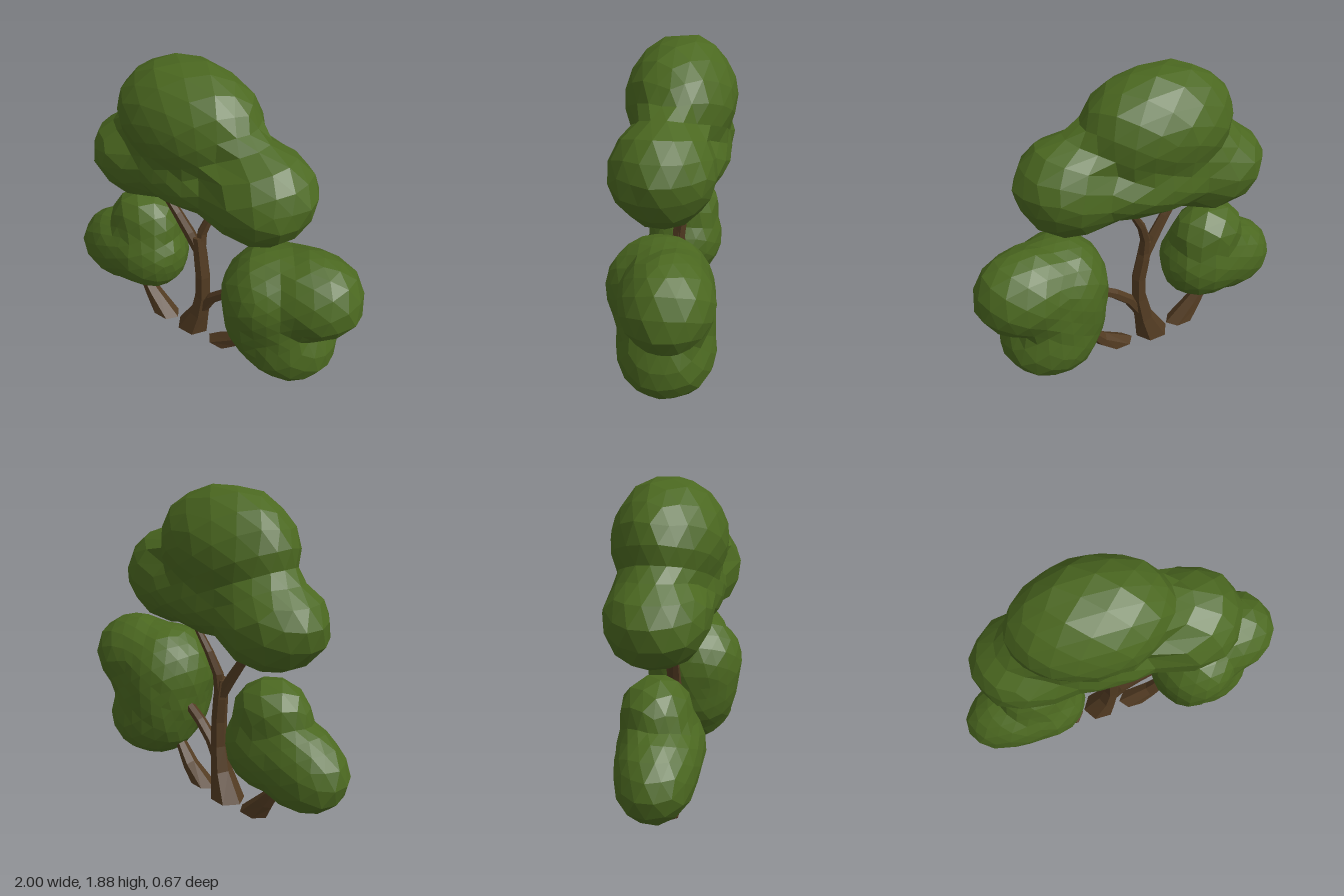
import * as THREE from 'three';
import { mergeVertices } from 'three/addons/utils/BufferGeometryUtils.js';

const leafGreen = new THREE.MeshStandardMaterial({ color: 0x4b6820, flatShading: true });
leafGreen.name = 'leaf green';
const barkBrown = new THREE.MeshStandardMaterial({ color: 0x523b22, flatShading: true });
barkBrown.name = 'bark brown';

// Small seeded generator for the uneven leaf surface
function seeded(seed) {
  return () => {
    seed = (seed * 16807) % 2147483647;
    return seed / 2147483647;
  };
}

// Distance from a point along a direction to the far side of an ellipsoid lobe (0 if missed)
function reach(from, dir, { at, size }) {
  let a = 0, b = 0, c = -1;
  for (let i = 0; i < 3; i++) {
    const d = dir.getComponent(i) / size[i];
    const o = (from[i] - at[i]) / size[i];
    a += d * d;
    b += d * o;
    c += o * o;
  }
  const disc = b * b - a * c;
  return disc < 0 ? 0 : Math.max(0, (Math.sqrt(disc) - b) / a);
}

// Faceted leaf mass: one skin pushed out from a centre to softly cover several lobes
function leafMass(name, centre, stretch, detail, seed, lobes) {
  let geo = new THREE.IcosahedronGeometry(1, detail);
  geo.deleteAttribute('uv');
  geo.deleteAttribute('normal');
  geo = mergeVertices(geo, 1e-4);
  const rand = seeded(seed * 1301);
  const p = geo.attributes.position;
  const dir = new THREE.Vector3();
  for (let i = 0; i < p.count; i++) {
    dir.fromBufferAttribute(p, i).multiply(stretch).normalize();
    const blend = lobes.reduce((sum, lobe) => sum + reach(centre, dir, lobe) ** 16, 0) ** (1 / 16);
    dir.multiplyScalar(blend * (0.985 + 0.03 * rand()));
    p.setXYZ(i, centre[0] + dir.x, centre[1] + dir.y, centre[2] + dir.z);
  }
  geo.computeVertexNormals();
  const mesh = new THREE.Mesh(geo, leafGreen);
  mesh.name = name;
  return mesh;
}

// Tapered branch lofted through stations [x, y, z, half width, half depth];
// a station at ground level gets a level ring
function branch(name, stations, sides = 6) {
  const pos = [];
  const index = [];
  stations.forEach(([x, y, z, w, d], i) => {
    const a = stations[Math.max(i - 1, 0)];
    const b = stations[Math.min(i + 1, stations.length - 1)];
    const across = new THREE.Vector2(b[1] - a[1], a[0] - b[0]).normalize();
    if (y === 0) across.set(1, 0);
    for (let k = 0; k < sides; k++) {
      const t = (k / sides) * Math.PI * 2;
      const c = Math.cos(t) * w;
      pos.push(x + across.x * c, y + across.y * c, z - Math.sin(t) * d);
    }
  });
  for (let i = 0; i < stations.length - 1; i++) {
    for (let k = 0; k < sides; k++) {
      const a = i * sides + k;
      const b = i * sides + ((k + 1) % sides);
      index.push(a, b, b + sides, a, b + sides, a + sides);
    }
  }
  // End caps
  const top = (stations.length - 1) * sides;
  for (let k = 1; k < sides - 1; k++) {
    index.push(0, k + 1, k, top, top + k, top + k + 1);
  }
  const geo = new THREE.BufferGeometry();
  geo.setAttribute('position', new THREE.Float32BufferAttribute(pos, 3));
  geo.setIndex(index);
  geo.computeVertexNormals();
  const mesh = new THREE.Mesh(geo, barkBrown);
  mesh.name = name;
  return mesh;
}

export function createModel() {
  // Woody parts
  const wood = new THREE.Group();
  wood.name = 'wood';
  wood.add(
    branch('trunk', [
      [-0.14, 0, -0.01, 0.11, 0.1], [-0.08, 0.16, -0.005, 0.062, 0.07], [-0.052, 0.32, 0, 0.05, 0.052],
      [-0.05, 0.48, 0, 0.046, 0.048], [-0.075, 0.64, -0.01, 0.044, 0.045], [-0.09, 0.76, -0.01, 0.036, 0.036],
    ]),
    branch('leftFork', [
      [-0.08, 0.65, -0.01, 0.036, 0.036], [-0.15, 0.77, 0, 0.036, 0.035],
      [-0.23, 0.89, 0.01, 0.031, 0.03], [-0.33, 1.02, 0.02, 0.022, 0.022],
    ]),
    branch('rightFork', [
      [-0.075, 0.64, -0.01, 0.036, 0.036], [-0.075, 0.79, -0.03, 0.032, 0.032],
      [-0.03, 0.92, -0.06, 0.026, 0.026], [0.06, 1.08, -0.09, 0.018, 0.018],
    ]),
    branch('sideBranch', [
      [-0.05, 0.22, 0, 0.04, 0.04], [0.02, 0.33, 0, 0.035, 0.038],
      [0.12, 0.42, 0, 0.033, 0.035], [0.25, 0.505, 0, 0.028, 0.03],
    ]),
    branch('leftStem', [
      [-0.36, 0, 0, 0.1, 0.075], [-0.46, 0.115, 0, 0.052, 0.055], [-0.56, 0.25, 0, 0.025, 0.03],
    ]),
    branch('rightStem', [
      [0.095, 0, 0, 0.095, 0.07], [0.22, 0.085, 0, 0.045, 0.052], [0.32, 0.21, 0, 0.03, 0.035],
    ]));

  // High crown: a dome over two side lobes and a thinner middle
  const crown = leafMass('crown', [-0.09, 1.34, 0], new THREE.Vector3(1.5, 1, 0.85), 4, 11, [
    { at: [-0.145, 1.55, -0.02], size: [0.455, 0.335, 0.315] },
    { at: [-0.5, 1.2, -0.03], size: [0.33, 0.26, 0.285] },
    { at: [0.36, 1.295, 0.03], size: [0.32, 0.295, 0.29] },
    { at: [-0.09, 1.26, -0.02], size: [0.6, 0.215, 0.295] },
  ]);

  // Low bush on the -x side: a leaning body with a smaller lobe set back on top
  const smallBush = leafMass('smallBush', [-0.56, 0.51, 0], new THREE.Vector3(1.25, 1, 0.8), 3, 5, [
    { at: [-0.73, 0.4, 0], size: [0.275, 0.21, 0.205] },
    { at: [-0.63, 0.47, 0], size: [0.33, 0.22, 0.23] },
    { at: [-0.48, 0.49, -0.01], size: [0.25, 0.26, 0.24] },
    { at: [-0.52, 0.7, -0.03], size: [0.23, 0.19, 0.195] },
  ]);

  // Low bush on the +x side, curling around a hollow
  const largeBush = leafMass('largeBush', [0.53, 0.55, 0], new THREE.Vector3(1, 1.1, 0.85), 4, 13, [
    { at: [0.46, 0.66, 0.03], size: [0.27, 0.29, 0.3] },
    { at: [0.43, 0.5, 0.02], size: [0.225, 0.31, 0.28] },
    { at: [0.54, 0.49, -0.01], size: [0.26, 0.33, 0.27] },
    { at: [0.57, 0.33, -0.015], size: [0.3, 0.25, 0.275] },
    { at: [0.695, 0.715, -0.035], size: [0.305, 0.26, 0.255] },
  ]);

  const tree = new THREE.Group();
  tree.name = 'tree';
  tree.add(wood, crown, smallBush, largeBush);
  return tree;
}
